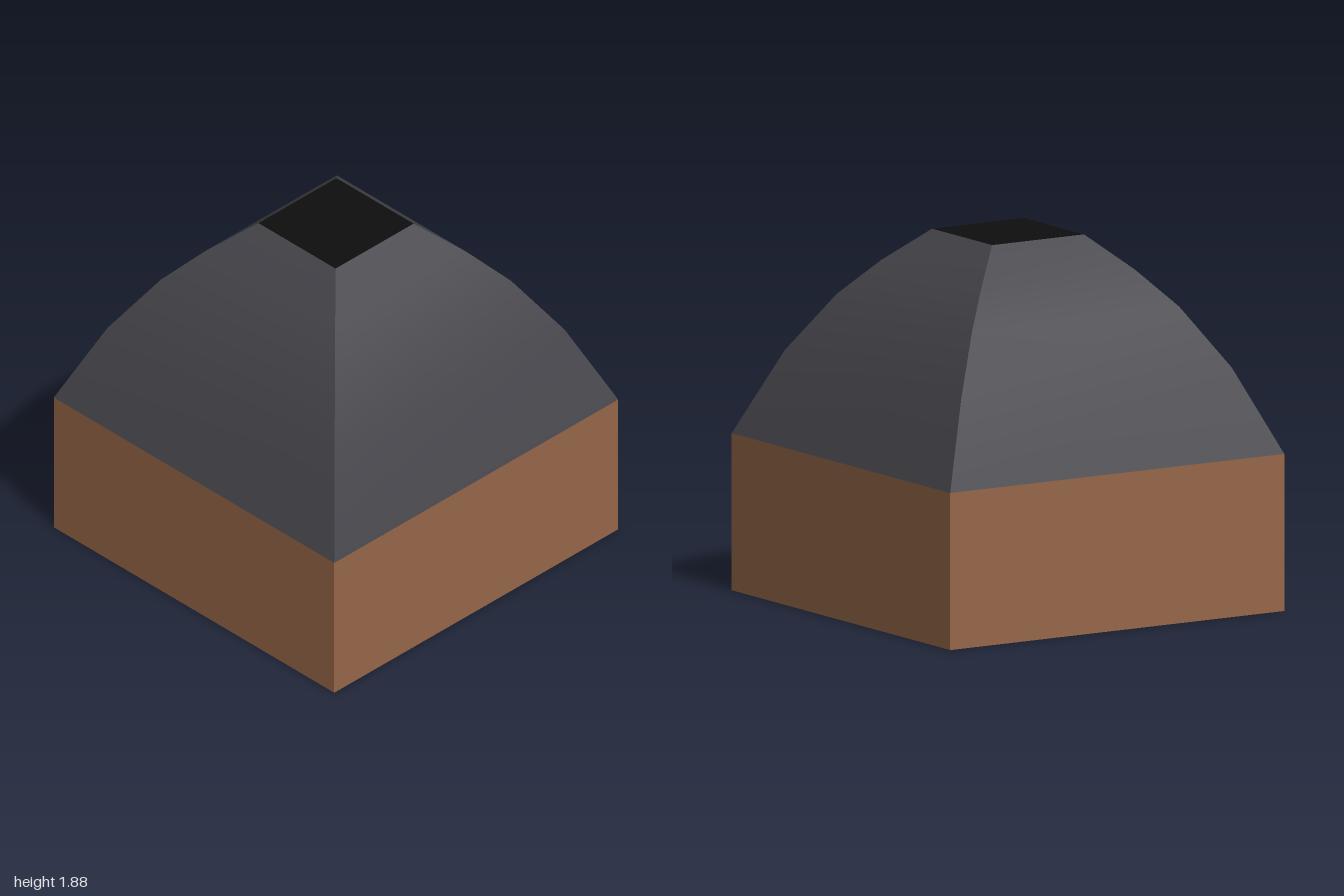
import * as THREE from 'three';

const brown = new THREE.MeshStandardMaterial({ name: 'brown wall', color: 0x966749 });
const slate = new THREE.MeshStandardMaterial({ name: 'slate roof', color: 0x45444a });
const black = new THREE.MeshStandardMaterial({ name: 'black', color: 0x0e0e0e });

// Curved roof outline: [half width, height] from eaves to top
const profile = [[1, 0.8], [0.81, 1.23], [0.62, 1.53], [0.46, 1.71], [0.275, 1.88]];

// One curved roof side facing +z, smooth along its slope
function roofSide() {
  const positions = [];
  const index = [];
  profile.forEach(([w, y], i) => {
    positions.push(-w, y, w, w, y, w);
    if (i > 0) {
      const a = 2 * (i - 1);
      index.push(a, a + 1, a + 3, a, a + 3, a + 2);
    }
  });
  const geometry = new THREE.BufferGeometry();
  geometry.setAttribute('position', new THREE.Float32BufferAttribute(positions, 3));
  geometry.setIndex(index);
  geometry.computeVertexNormals();
  return geometry;
}

export function createModel() {
  const model = new THREE.Group();
  model.name = 'domedHut';

  // Square walls with a black underside
  const walls = new THREE.Mesh(
    new THREE.BoxGeometry(2, 0.8, 2),
    [brown, brown, slate, black, brown, brown]
  );
  walls.name = 'walls';
  walls.position.y = 0.4;
  model.add(walls);

  // Four matching roof sides meeting at sharp hips
  const roof = new THREE.Group();
  roof.name = 'roof';
  const side = roofSide();
  for (let i = 0; i < 4; i++) {
    const mesh = new THREE.Mesh(side, slate);
    mesh.name = 'roofSide';
    mesh.rotation.y = i * Math.PI / 2;
    roof.add(mesh);
  }
  model.add(roof);

  // Flat black square closing the top
  const [topWidth, topHeight] = profile[profile.length - 1];
  const cap = new THREE.Mesh(new THREE.PlaneGeometry(2 * topWidth, 2 * topWidth), black);
  cap.name = 'roofCap';
  cap.rotation.x = -Math.PI / 2;
  cap.position.y = topHeight;
  model.add(cap);

  return model;
}
